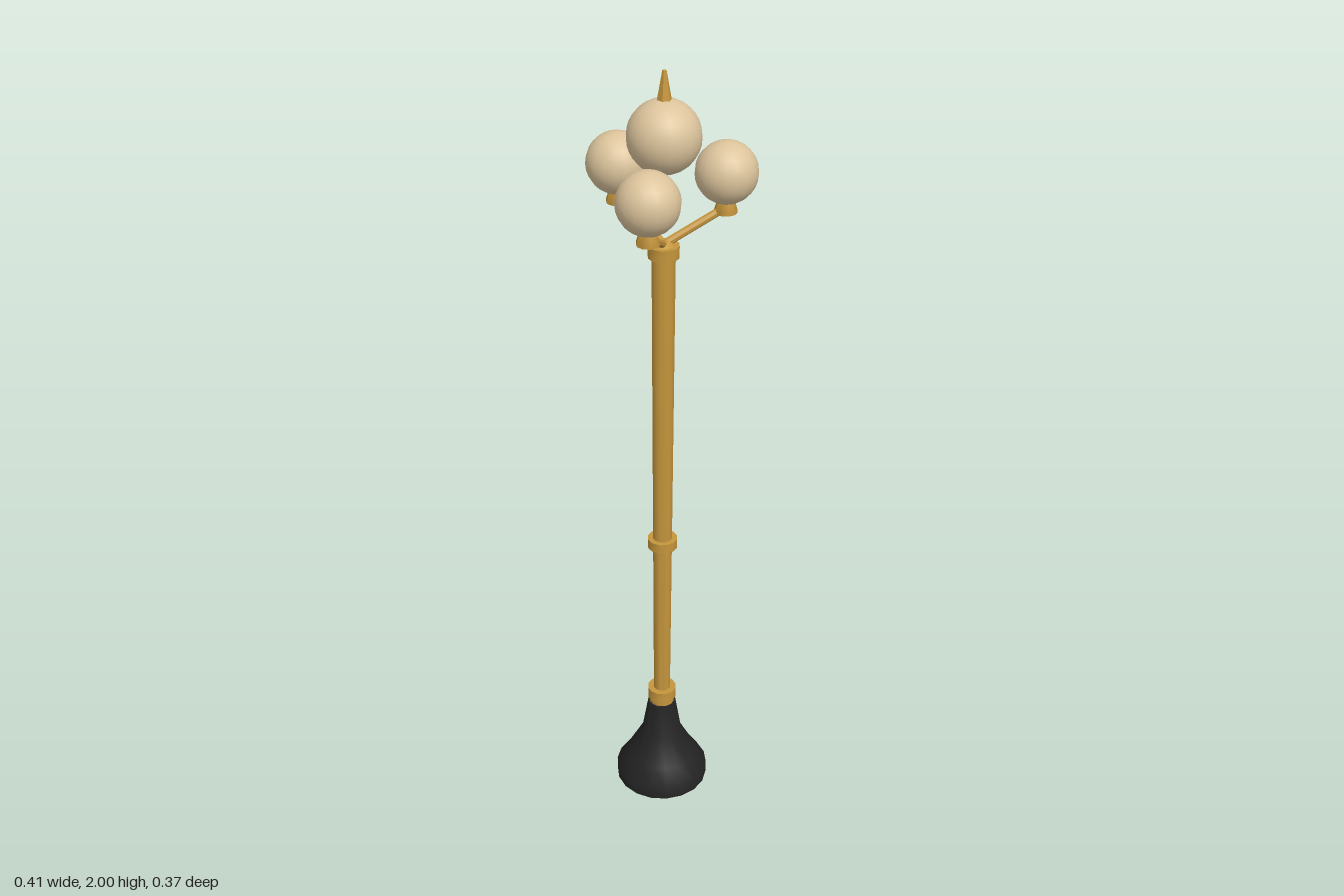
import * as THREE from 'three';
import { toCreasedNormals } from 'three/addons/utils/BufferGeometryUtils.js';

export function createModel() {
  const model = new THREE.Group();
  model.name = 'streetLamp';

  const material = (name, color) => {
    const m = new THREE.MeshStandardMaterial({ color });
    m.name = name;
    return m;
  };
  const brass = material('brass', 0xc4953c);
  const iron = material('blackIron', 0x242424);
  const glass = material('creamGlass', 0xdcc49c);

  const axisZ = 0.036; // the post stands slightly forward of centre

  const add = (name, geometry, mat, x = 0, y = 0, z = 0) => {
    const mesh = new THREE.Mesh(geometry, mat);
    mesh.name = name;
    mesh.position.set(x, y, z + axisZ);
    model.add(mesh);
    return mesh;
  };

  // Turned part from [radius, height] pairs, bottom to top
  const turned = (profile, sides) => toCreasedNormals(
    new THREE.LatheGeometry(profile.map(([r, y]) => new THREE.Vector2(r, y)), sides), 0.7);

  // Flared foot
  add('base', turned([
    [0, 0], [0.123, 0], [0.123, 0.033], [0.092, 0.08], [0.053, 0.153], [0.037, 0.25], [0, 0.25],
  ], 18), iron);

  // Post, widening slightly towards the top
  add('post', turned([[0, 0.24], [0.022, 0.24], [0.029, 1.58], [0, 1.58]], 12), brass);
  add('neck', turned([[0, 0.248], [0.033, 0.248], [0.033, 0.268], [0, 0.268]], 12), brass);

  // Collars
  for (const [name, y, h] of [['lowerCollar', 0.281, 0.03], ['middleCollar', 0.766, 0.026], ['upperCollar', 1.574, 0.03]]) {
    add(name, toCreasedNormals(new THREE.CylinderGeometry(0.038, 0.038, h, 12), 0.7), brass, 0, y);
  }
  add('postCap', toCreasedNormals(new THREE.CylinderGeometry(0.012, 0.029, 0.014, 12), 0.7), brass, 0, 1.594);

  // Three arms, each with a holder and a globe
  const reach = 0.149;
  const up = new THREE.Vector3(0, 1, 0);
  [['left', Math.PI / 6], ['right', Math.PI * 5 / 6], ['back', -Math.PI / 2]].forEach(([side, angle]) => {
    const x = Math.cos(angle) * reach;
    const z = Math.sin(angle) * reach;
    const start = new THREE.Vector3(0, 1.59, 0);
    const span = new THREE.Vector3(x, 1.665, z).sub(start);
    const arm = add(side + 'Arm',
      toCreasedNormals(new THREE.CylinderGeometry(0.01, 0.01, span.length(), 8), 0.9), brass);
    arm.position.add(start).addScaledVector(span, 0.5);
    arm.quaternion.setFromUnitVectors(up, span.clone().normalize());
    add(side + 'Holder', turned([
      [0, 1.652], [0.027, 1.652], [0.027, 1.66], [0.02, 1.683], [0, 1.683],
    ], 10), brass, x, 0, z);
    add(side + 'Globe', new THREE.SphereGeometry(0.074, 18, 14), glass, x, 1.75, z);
  });

  // Large centre globe with its finial
  add('centreGlobe', new THREE.SphereGeometry(0.086, 20, 16), glass, 0, 1.85);
  add('finial', turned([[0, 1.92], [0.018, 1.93], [0.012, 1.962], [0.005, 2], [0, 2]], 6), brass);

  return model;
}
